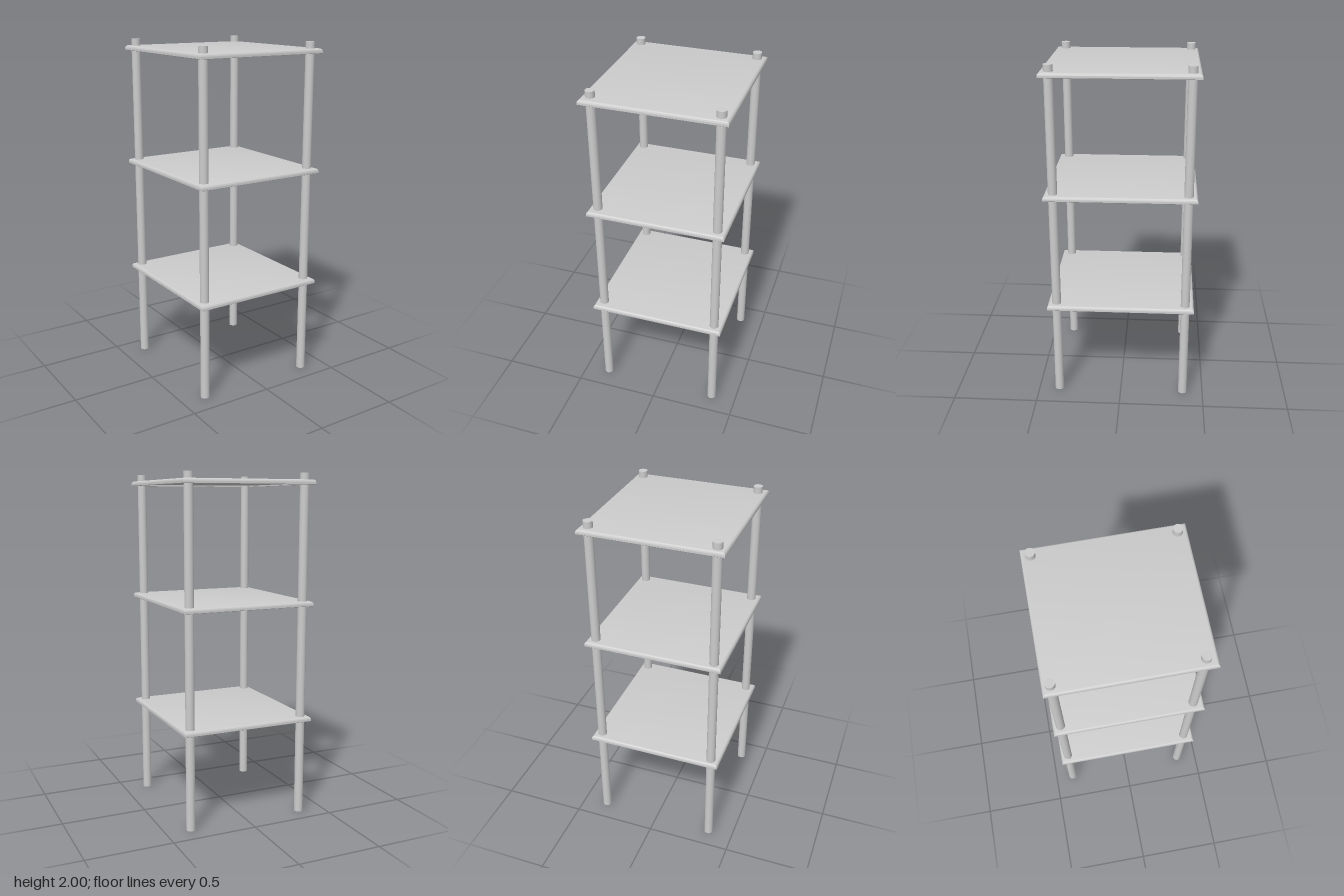
import * as THREE from 'three';
import { toCreasedNormals } from 'three/addons/utils/BufferGeometryUtils.js';

const HALF_X = 0.4, HALF_Z = 0.43, THICK = 0.028, ROUND = 0.016;

// Shelf: mitred rectangular rings following an [inset, y] profile,
// from the recessed underside, round the lip and over the rounded top edge
function shelfGeometry() {
  const profile = [[0.022, 0.008], [0.022, 0], [0.002, 0], [0, 0.002]];
  for (let i = 0; i <= 6; i++) {
    const a = (i / 6) * Math.PI / 2;
    profile.push([ROUND * (1 - Math.cos(a)), THICK - ROUND + ROUND * Math.sin(a)]);
  }
  const corners = [[1, 1], [1, -1], [-1, -1], [-1, 1]];
  const positions = [], index = [];
  for (const [inset, y] of profile)
    for (const [sx, sz] of corners) positions.push(sx * (HALF_X - inset), y, sz * (HALF_Z - inset));
  for (let r = 0; r < profile.length - 1; r++)
    for (let c = 0; c < 4; c++) {
      const a = r * 4 + c, b = r * 4 + (c + 1) % 4;
      index.push(a, b, b + 4, a, b + 4, a + 4);
    }
  // underside panel and top face
  const t = (profile.length - 1) * 4;
  index.push(0, 2, 1, 0, 3, 2, t, t + 1, t + 2, t, t + 2, t + 3);
  const g = new THREE.BufferGeometry();
  g.setAttribute('position', new THREE.Float32BufferAttribute(positions, 3));
  g.setIndex(index);
  return toCreasedNormals(g, Math.PI / 6);
}

export function createModel() {
  const model = new THREE.Group();
  model.name = 'shelfUnit';
  const material = new THREE.MeshStandardMaterial({ color: 0xcccccc });

  const add = (name, geometry, x, y, z) => {
    const mesh = new THREE.Mesh(geometry, material);
    mesh.name = name;
    mesh.position.set(x, y, z);
    model.add(mesh);
  };

  // Three shelves
  const shelf = shelfGeometry();
  const shelfNames = ['bottomShelf', 'middleShelf', 'topShelf'];
  [0.564, 1.249, 1.935].forEach((y, i) => add(shelfNames[i], shelf, 0, y, 0));

  // Four round posts, very slightly out of square
  const post = new THREE.CylinderGeometry(0.026, 0.026, 2, 40);
  add('frontLeftPost', post, 0.35, 1, 0.378);
  add('frontRightPost', post, -0.35, 1, 0.371);
  add('backLeftPost', post, 0.35, 1, -0.379);
  add('backRightPost', post, -0.35, 1, -0.386);

  return model;
}
